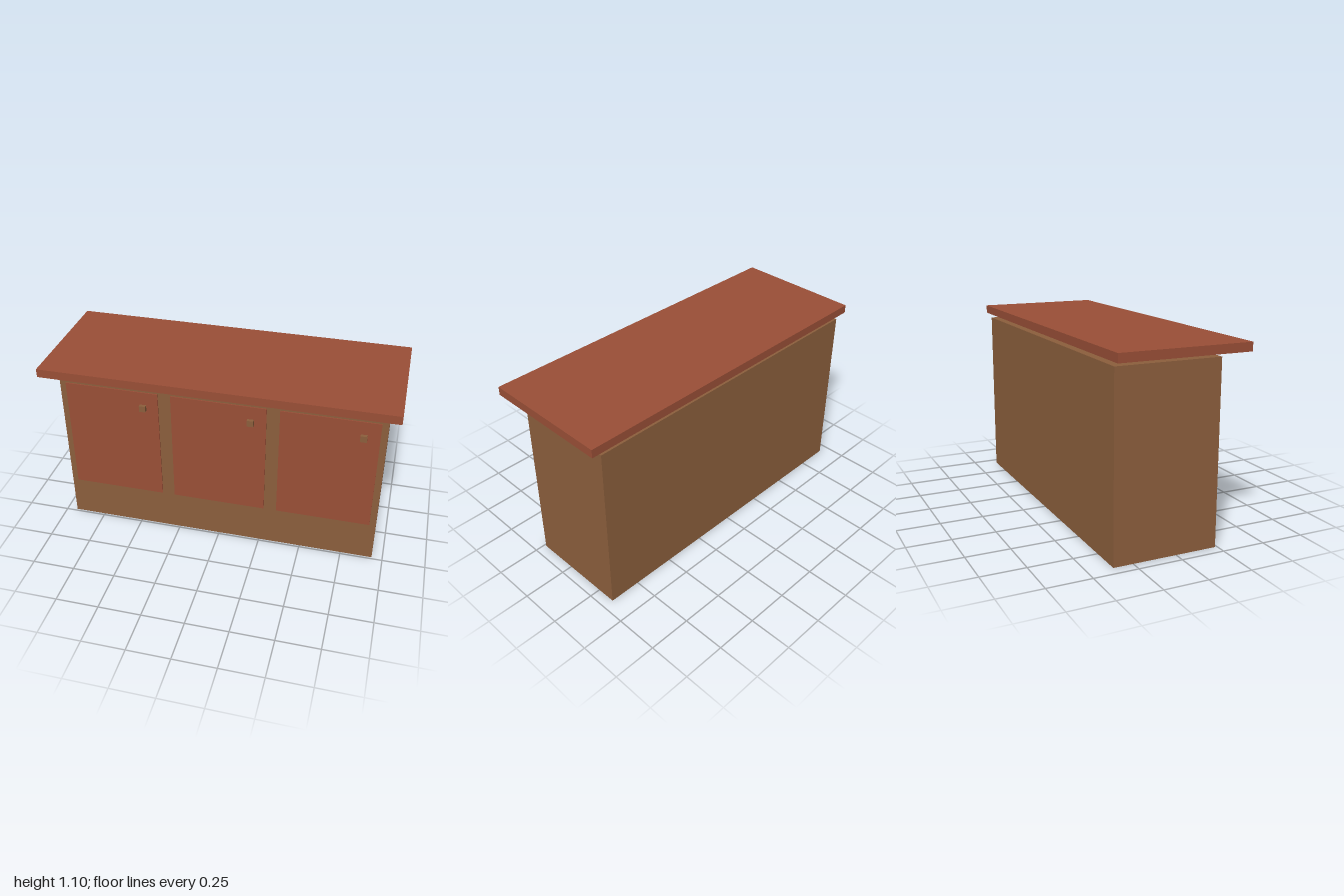
import * as THREE from 'three';

export function createModel() {
  const group = new THREE.Group();
  const wood = new THREE.MeshStandardMaterial({ color: 0x8b5e3c });
  wood.name = 'brown wood';
  const redWood = new THREE.MeshStandardMaterial({ color: 0x984e36 });
  redWood.name = 'reddish wood';

  function box(name, size, position, material) {
    const mesh = new THREE.Mesh(new THREE.BoxGeometry(...size), material);
    mesh.name = name;
    mesh.position.set(...position);
    group.add(mesh);
  }

  // Cabinet body, set back under the counter
  box('cabinetBody', [1.874, 1.024, 0.599], [0, 0.512, -0.0625], wood);

  // Overhanging countertop, floating just above the body
  box('countertop', [2, 0.049, 0.75], [0, 1.0745, 0], redWood);

  // Three thin doors, each with a small square knob
  ['right', 'middle', 'left'].forEach((side, i) => {
    const x = (i - 1) * 0.625;
    box(side + 'Door', [0.55, 0.7, 0.007], [x, 0.6, 0.2395], redWood);
    box(side + 'Knob', [0.0375, 0.0375, 0.0195], [x + 0.1865, 0.852, 0.2525], wood);
  });

  return group;
}
